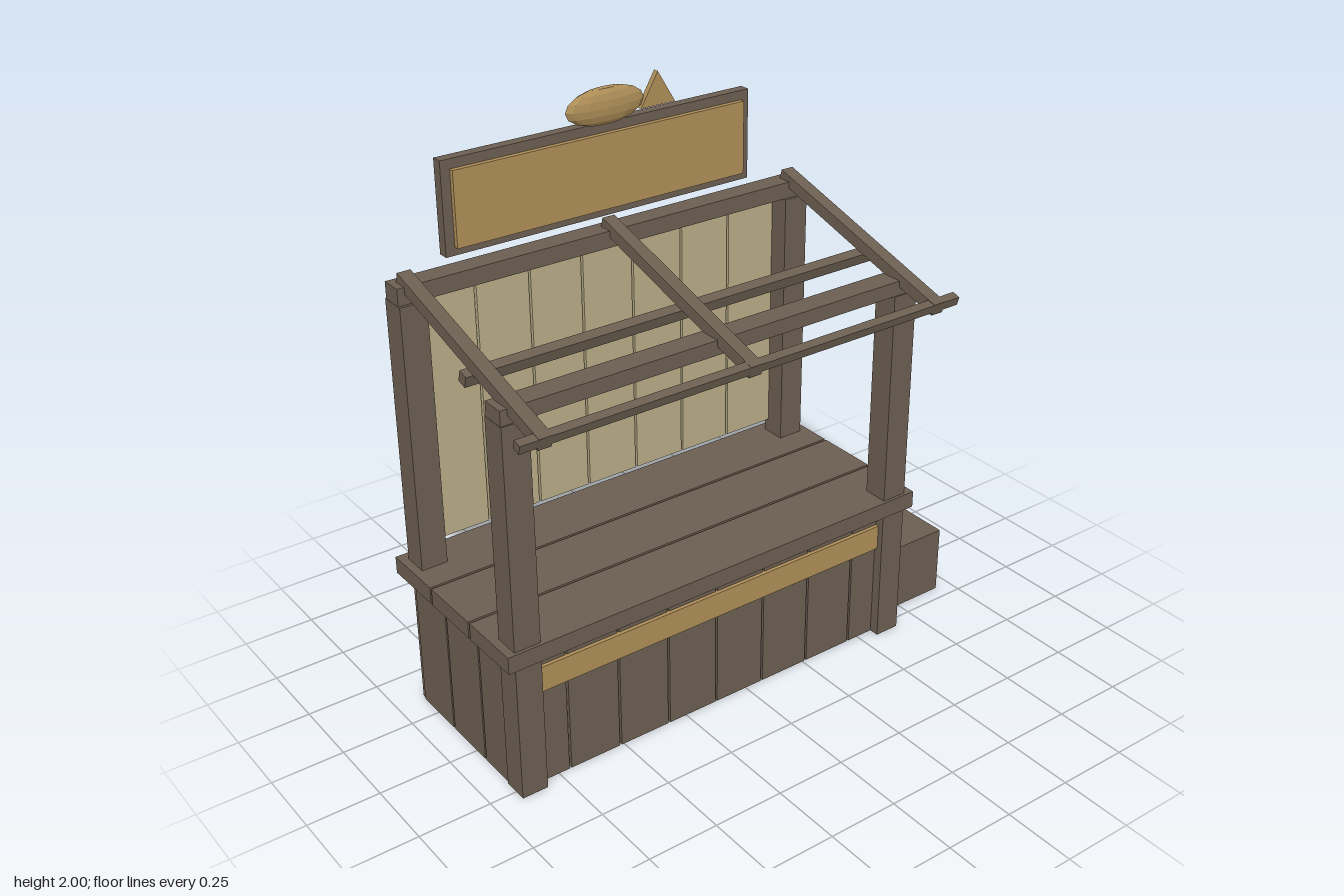
import * as THREE from 'three';

const wood = new THREE.MeshStandardMaterial({ color: 0x6b5e51 });
wood.name = 'brown wood';
const gold = new THREE.MeshStandardMaterial({ color: 0xae8e58, flatShading: true });
gold.name = 'golden trim';
const cream = new THREE.MeshStandardMaterial({ color: 0xb8ab86 });
cream.name = 'pale boards';

const MID = -0.125; // centre line of the stall in x

export function createModel() {
  const root = new THREE.Group();
  root.name = 'marketStall';

  const add = (name, geometry, material, x, y, z) => {
    const m = new THREE.Mesh(geometry, material);
    m.name = name;
    m.position.set(x, y, z);
    root.add(m);
    return m;
  };
  // Box given by its limits on each axis
  const box = (name, mat, x0, x1, y0, y1, z0, z1) =>
    add(name, new THREE.BoxGeometry(x1 - x0, y1 - y0, z1 - z0), mat,
      (x0 + x1) / 2, (y0 + y1) / 2, (z0 + z1) / 2);

  // Base: solid core clad with vertical planks
  const gap = 0.004;
  box('baseCore', wood, -0.89, 0.64, 0.002, 0.488, -0.345, 0.24);
  for (let i = 0; i < 8; i++) {
    const x0 = -0.9 + i * 0.19375, x1 = x0 + 0.19375;
    box('frontPlank', wood, x0 + gap, x1 - gap, 0, 0.49, 0.235, 0.255);
    box('backPlank', wood, x0 + gap, x1 - gap, 0, 0.49, -0.36, -0.34);
  }
  for (const s of [-1, 1]) {
    for (let i = 0; i < 3; i++) {
      const z0 = -0.345 + i * 0.2;
      const x = MID + s * 0.765;
      box('sidePlank', wood, x - 0.01, x + 0.01, 0, 0.49, z0 + gap, z0 + 0.2 - gap);
    }
  }
  box('counterStripe', gold, -0.81, 0.565, 0.35, 0.44, 0.25, 0.268);

  // Counter top: three long boards
  for (let i = 0; i < 3; i++) {
    const z0 = -0.395 + i * 0.235;
    box('counterBoard', wood, -0.935, 0.688, 0.49, 0.55, z0, z0 + 0.226);
  }

  // Posts and cross beams
  for (const s of [-1, 1]) {
    const x = MID + s * 0.735;
    box('frontPost', wood, x - 0.046, x + 0.046, 0, 1.31, 0.2, 0.29);
    box('backPost', wood, x - 0.046, x + 0.046, 0.5, 1.47, -0.36, -0.27);
  }
  box('frontBeam', wood, -0.905, 0.655, 1.31, 1.36, 0.205, 0.285);
  box('backBeam', wood, -0.905, 0.655, 1.47, 1.527, -0.355, -0.28);

  // Back wall boards
  for (let i = 0; i < 7; i++) {
    const x0 = -0.808 + i * 0.1961;
    box('backWallBoard', cream, x0 + gap, x0 + 0.1961 - gap, 0.6, 1.462, -0.36, -0.338);
  }

  // Open roof frame: sloping rafters and two purlins
  const tilt = Math.atan2(0.225, 0.77);
  for (const dx of [-0.733, 0, 0.733]) {
    add('rafter', new THREE.BoxGeometry(0.046, 0.042, 0.802), wood, MID + dx, 1.427, 0.059)
      .rotation.x = tilt;
  }
  add('middlePurlin', new THREE.BoxGeometry(1.56, 0.038, 0.036), wood, MID, 1.378, 0.083)
    .rotation.x = tilt;
  add('frontPurlin', new THREE.BoxGeometry(1.635, 0.03, 0.03), wood, MID, 1.323, 0.431)
    .rotation.x = tilt;

  // Sign board with its panel
  box('signBack', wood, -0.7, 0.455, 1.553, 1.862, -0.382, -0.345);
  box('signPanel', gold, -0.668, 0.425, 1.58, 1.83, -0.346, -0.328);

  // Fish ornament above the sign
  add('fishBody', new THREE.SphereGeometry(1, 12, 8), gold, -0.124, 1.925, -0.325)
    .scale.set(0.147, 0.062, 0.03);
  const tail = new THREE.Shape([
    new THREE.Vector2(0.005, 1.89), new THREE.Vector2(0.137, 1.89), new THREE.Vector2(0.071, 2),
  ]);
  add('fishTail', new THREE.ExtrudeGeometry(tail, { depth: 0.02, bevelEnabled: false }),
    gold, 0, 0, -0.335);

  // Crate beside the stall
  box('crate', wood, 0.69, 0.938, 0, 0.25, -0.052, 0.196);

  return root;
}
